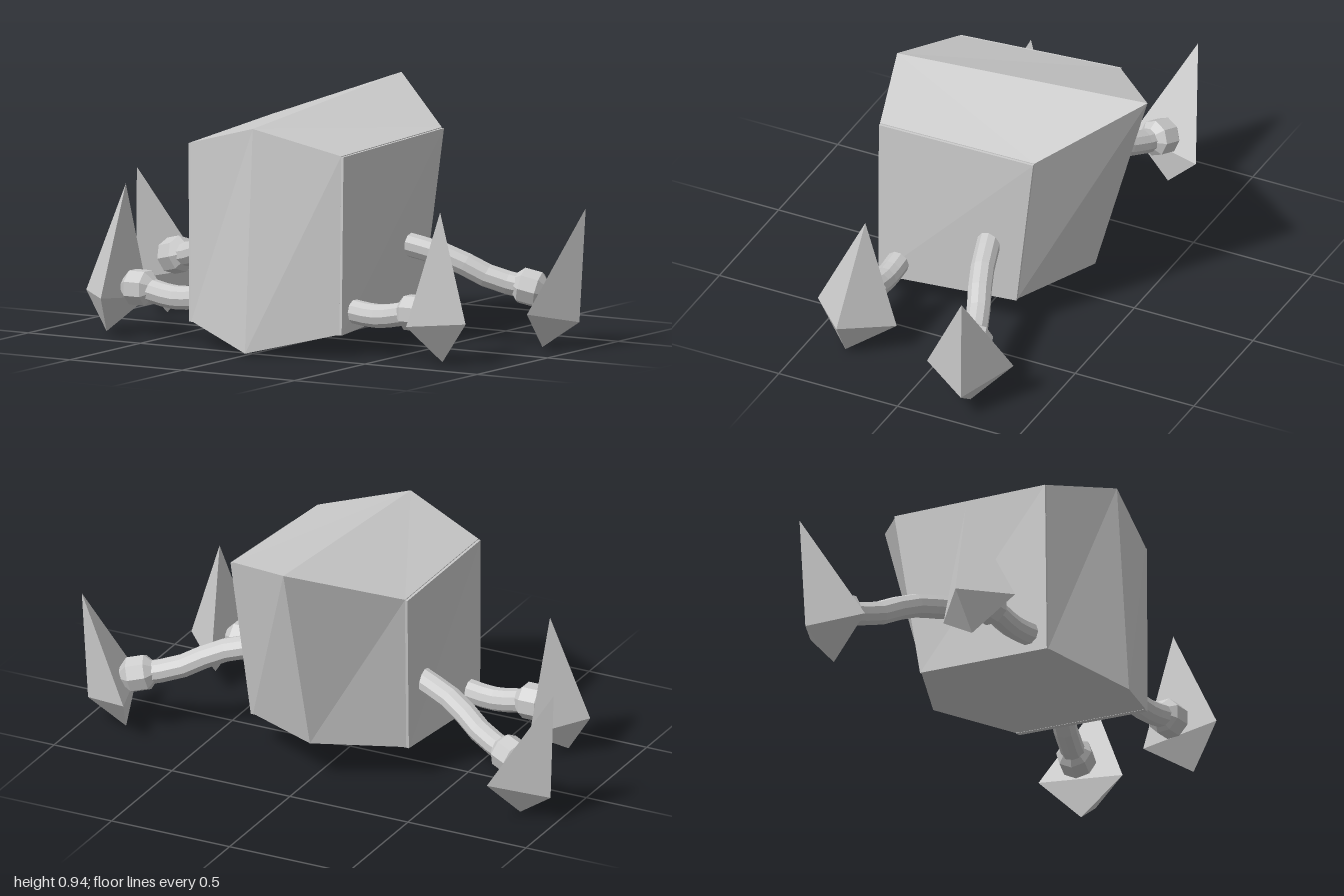
import * as THREE from 'three';

const material = new THREE.MeshStandardMaterial({ color: 0xcccccc, flatShading: true });

function mesh(name, geometry) {
  const m = new THREE.Mesh(geometry, material);
  m.name = name;
  return m;
}

function fromTriangles(points) {
  const g = new THREE.BufferGeometry();
  g.setAttribute('position', new THREE.Float32BufferAttribute(points.flat(), 3));
  g.computeVertexNormals();
  return g;
}

// Closed solid between two rings, both counterclockwise seen from above
function prism(top, bottom) {
  const t = [], n = top.length;
  for (let i = 0; i < n; i++) {
    const j = (i + 1) % n;
    t.push(bottom[i], bottom[j], top[j], bottom[i], top[j], top[i]);
    if (i > 0 && i < n - 1) t.push(top[0], top[i], top[j], bottom[0], bottom[j], bottom[i]);
  }
  return fromTriangles(t);
}

// Spike made of a ring with a point above and a point below
function bipyramid(ring, top, bottom) {
  const t = [];
  ring.forEach((p, i) => {
    const q = ring[(i + 1) % ring.length];
    t.push(p, q, top, q, p, bottom);
  });
  return fromTriangles(t);
}

const mirror = (p, s) => [p[0] * s, p[1], p[2]];

function createLeg(name, side, spec) {
  const leg = new THREE.Group();
  leg.name = name;
  const at = (p) => new THREE.Vector3(...mirror(p, side));

  // Bent limb
  const path = new THREE.CatmullRomCurve3(spec.path.map(at));
  leg.add(mesh('limb', new THREE.TubeGeometry(path, 6, 0.046, 10)));

  // Faceted ankle, aligned with the end of the limb
  const profile = [[0, -0.068], [0.034, -0.068], [0.07, -0.034], [0.07, 0.034], [0.034, 0.068], [0, 0.068]];
  const ankle = mesh('ankle', new THREE.LatheGeometry(
    profile.map(([r, y]) => new THREE.Vector2(r, y)), 8, Math.PI / 8));
  ankle.position.copy(at(spec.ankle));
  ankle.quaternion.setFromUnitVectors(new THREE.Vector3(0, 1, 0), at(spec.ankleAxis).normalize());
  leg.add(ankle);

  // Pointed foot
  const ring = spec.foot.map((p) => mirror(p, side));
  if (side < 0) ring.reverse();
  leg.add(mesh('foot', bipyramid(ring, mirror(spec.tip, side), mirror(spec.toe, side))));
  return leg;
}

export function createModel() {
  const model = new THREE.Group();
  model.name = 'leggedBody';

  // Leaning six-sided body with a ridge along the top
  const top = [[0, 0.86, 0.5], [0.335, 0.77, 0.405], [0.365, 0.8, -0.26],
    [0, 0.945, -0.555], [-0.365, 0.8, -0.26], [-0.335, 0.77, 0.405]];
  const bottom = [[0, 0.01, 0.555], [0.33, 0.09, 0.41], [0.325, 0.14, -0.17],
    [0, 0.155, -0.335], [-0.325, 0.14, -0.17], [-0.33, 0.09, 0.41]];
  model.add(mesh('body', prism(top, bottom)));

  // Thin plates on the flanks
  for (const side of [1, -1]) {
    const plate = (front, back) => {
      const ring = [[0.01, front], [0.01, back], [-0.01, back], [-0.01, front]]
        .map(([dx, p]) => mirror([p[0] + dx, p[1] - 0.003, p[2]], side));
      return side < 0 ? ring.reverse() : ring;
    };
    model.add(mesh(side > 0 ? 'leftPlate' : 'rightPlate',
      prism(plate(top[1], top[2]), plate(bottom[1], bottom[2]))));
  }

  // Two pairs of legs
  const front = {
    path: [[0.3, 0.175, 0.325], [0.45, 0.16, 0.325], [0.6, 0.185, 0.325]],
    ankle: [0.612, 0.185, 0.322], ankleAxis: [1, 0, 0],
    foot: [[0.845, 0.16, 0.335], [0.675, 0.125, 0.165], [0.68, 0.158, 0.495]],
    tip: [0.7, 0.57, 0.285], toe: [0.748, 0.01, 0.345],
  };
  const rear = {
    path: [[0.31, 0.385, -0.05], [0.5, 0.335, -0.105], [0.65, 0.26, -0.165], [0.79, 0.225, -0.215]],
    ankle: [0.787, 0.228, -0.215], ankleAxis: [1, -0.25, -0.33],
    foot: [[0.98, 0.105, -0.257], [0.77, 0.16, -0.375], [0.87, 0.15, -0.06]],
    tip: [1, 0.54, -0.27], toe: [0.835, 0.003, -0.225],
  };
  for (const side of [1, -1]) {
    const label = side > 0 ? 'Left' : 'Right';
    model.add(createLeg('front' + label + 'Leg', side, front));
    model.add(createLeg('rear' + label + 'Leg', side, rear));
  }
  return model;
}
